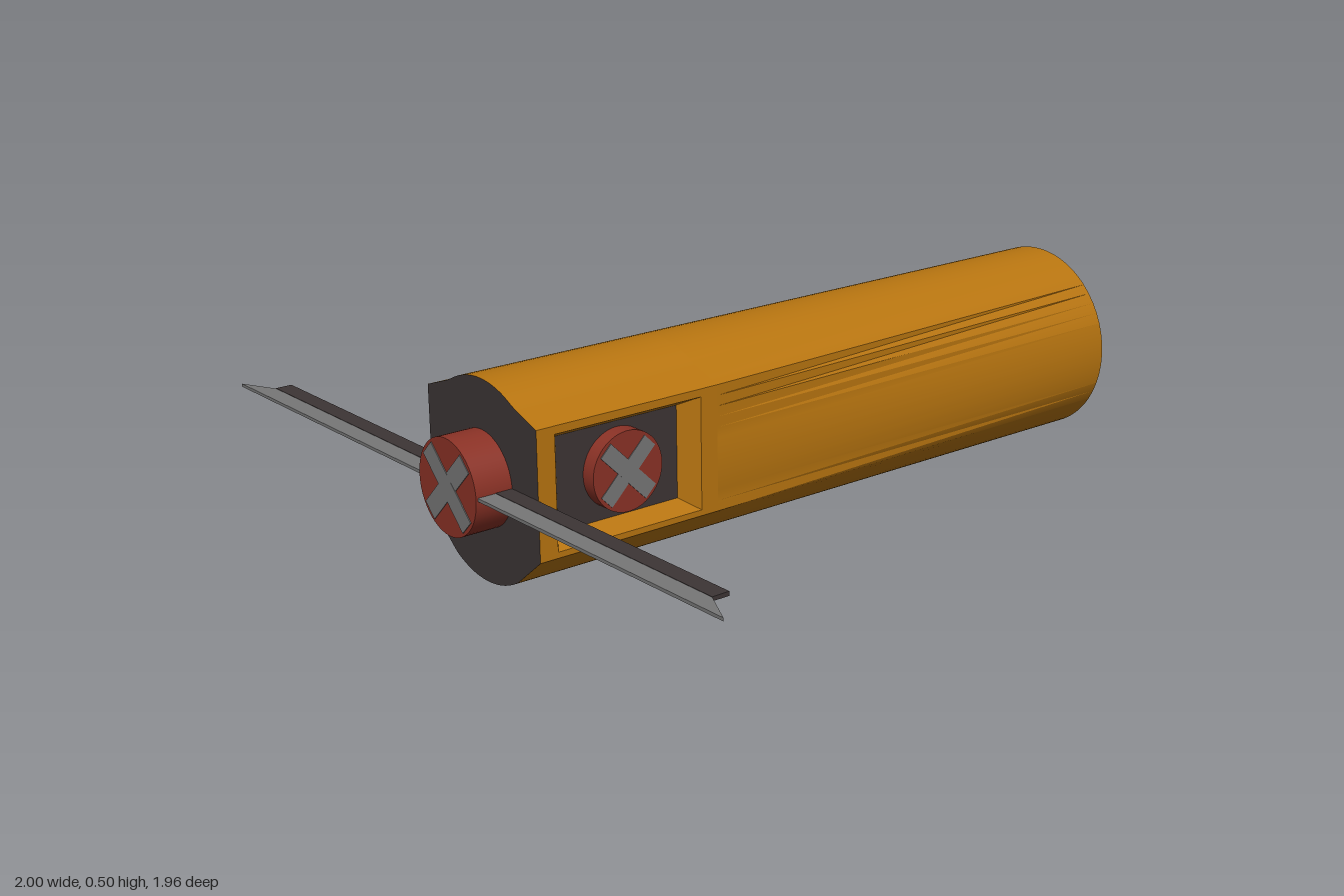
import * as THREE from 'three';
import { toCreasedNormals } from 'three/addons/utils/BufferGeometryUtils.js';

const material = (color) => new THREE.MeshStandardMaterial({ color });
const orange = material(0xb87510), dark = material(0x3d3535), red = material(0x8b3226), grey = material(0x777777);

const R = 0.252, CY = 0.253;            // round end of the body
const SIDE = 0.225, LOW = 0.115, HIGH = 0.435; // flat sides of the front end
const FRONT = 0.88, MID = 0.36, BACK = -0.98;

function mesh(name, geometry, mat, parent) {
  const m = new THREE.Mesh(geometry, mat);
  m.name = name;
  parent.add(m);
  return m;
}

// Skin between two closed rings of points; skip(i) leaves a segment open
function loft(a, b, skip = () => false) {
  const pos = [];
  a.forEach((p, i) => {
    if (skip(i)) return;
    const j = (i + 1) % a.length;
    for (const v of [p, b[i], b[j], p, b[j], a[j]]) pos.push(v.x, v.y, v.z);
  });
  const g = new THREE.BufferGeometry();
  g.setAttribute('position', new THREE.Float32BufferAttribute(pos, 3));
  return toCreasedNormals(g, 0.3);
}

// Front end: round top and bottom that run straight out to the side corners
function frontPoint(x, top) {
  const ax = Math.abs(x), knee = 0.13, sign = top ? 1 : -1;
  const arc = (v) => CY + sign * Math.sqrt(R * R - v * v);
  if (ax <= knee) return arc(ax);
  return THREE.MathUtils.lerp(arc(knee), top ? HIGH : LOW, (ax - knee) / (SIDE - knee));
}

// Matching rings of the squared front and the round back
function bodyRings() {
  const up = Math.asin((HIGH - CY) / R), down = Math.asin((LOW - CY) / R);
  const spans = [
    [down, up, 12], [up, Math.PI - up, 28],
    [Math.PI - up, Math.PI - down, 12], [Math.PI - down, 2 * Math.PI + down, 28],
  ];
  const front = [], back = [], sides = [];
  spans.forEach(([from, to, n], s) => {
    for (let i = 0; i < n; i++) {
      const t = from + (to - from) * i / n;
      const x = R * Math.cos(t), y = CY + R * Math.sin(t);
      back.push(new THREE.Vector3(x, y, BACK));
      if (s % 2 === 0) {
        const f = s === 0 ? i / n : 1 - i / n;
        front.push(new THREE.Vector3(s === 0 ? SIDE : -SIDE, LOW + (HIGH - LOW) * f, FRONT));
      } else {
        const fx = x * SIDE / Math.abs(R * Math.cos(from));
        front.push(new THREE.Vector3(fx, frontPoint(fx, s === 1), FRONT));
      }
      sides.push(s % 2 === 0);
    }
  });
  return { front, back, sides };
}

const flat = (ring) => ring.map((p) => new THREE.Vector2(p.x, p.y));

// Round head with a cross on its face, pointing along +z from z = 0
function crossHead(name, radius, height, barLength, barWidth) {
  const g = new THREE.Group();
  g.name = name;
  mesh('head', new THREE.CylinderGeometry(radius, radius, height, 48).rotateX(Math.PI / 2), red, g).position.z = height / 2;
  for (const turn of [1, -1]) {
    const bar = mesh('crossBar', new THREE.BoxGeometry(barLength, barWidth, 0.01), grey, g);
    bar.position.z = height - 0.003 + (turn > 0 ? 0 : 0.0004);
    bar.rotation.z = turn * Math.PI / 4;
  }
  return g;
}

const rect = (w, y0, y1, z) => [[-w, y0], [-w, y1], [w, y1], [w, y0]].map(([x, y]) => new THREE.Vector3(x, y, z));

// Flat side wall with a bevelled pocket and a cross head in it, facing +z
function sidePocket(name) {
  const g = new THREE.Group();
  g.name = name;
  const depth = 0.05, half = (FRONT - MID) / 2;
  const rim = rect(0.21, 0.13, 0.415, 0), floor = rect(0.175, 0.155, 0.39, -depth);
  const wall = new THREE.Shape(flat(rect(half, LOW, HIGH, 0)));
  wall.holes.push(new THREE.Path(flat(rim)));
  mesh('sideWall', new THREE.ShapeGeometry(wall), orange, g);
  mesh('pocketBevel', loft(rim, floor), orange, g);
  mesh('pocketFloor', new THREE.ShapeGeometry(new THREE.Shape(flat(floor))), dark, g).position.z = -depth;
  const head = crossHead('sideHead', 0.1, 0.04, 0.18, 0.042);
  head.position.set(0, 0.275, -depth);
  g.add(head);
  return g;
}

export function createModel() {
  const model = new THREE.Group();
  model.name = 'model';

  // Body: constant front part, then a blend to the round back
  const { front, back, sides } = bodyRings();
  const mid = front.map((p) => new THREE.Vector3(p.x, p.y, MID));
  mesh('bodyFront', loft(front, mid, (i) => sides[i]), orange, model);
  mesh('bodyBack', loft(mid, back), orange, model);
  mesh('frontFace', new THREE.ShapeGeometry(new THREE.Shape(flat(front))), dark, model).position.z = FRONT;
  const end = mesh('backFace', new THREE.ShapeGeometry(new THREE.Shape(flat(back))), orange, model);
  end.rotation.y = Math.PI;
  end.position.z = BACK;

  // Pockets on both sides
  for (const s of [1, -1]) {
    const pocket = sidePocket(s > 0 ? 'leftPocket' : 'rightPocket');
    pocket.rotation.y = s * Math.PI / 2;
    pocket.position.set(s * SIDE, 0, (FRONT + MID) / 2);
    model.add(pocket);
  }

  // Front hub
  const hub = crossHead('frontHub', 0.12, 0.098, 0.22, 0.05);
  hub.position.set(0, 0.26, FRONT);
  model.add(hub);

  // Thin blades: dark spine and a lighter, flared leading edge
  const blade = new THREE.Group();
  blade.name = 'blades';
  blade.position.y = 0.262;
  model.add(blade);
  mesh('bladeSpine', new THREE.BoxGeometry(1.81, 0.01, 0.045), dark, blade).position.z = 0.9025;
  const edge = new THREE.Shape(
    [[-0.905, -0.925], [-1, -0.973], [1, -0.973], [0.905, -0.925]].map(([x, y]) => new THREE.Vector2(x, y)));
  const edgeGeometry = new THREE.ExtrudeGeometry(edge, { depth: 0.008, bevelEnabled: false });
  mesh('bladeEdge', edgeGeometry.rotateX(-Math.PI / 2), grey, blade).position.y = -0.004;

  return model;
}
